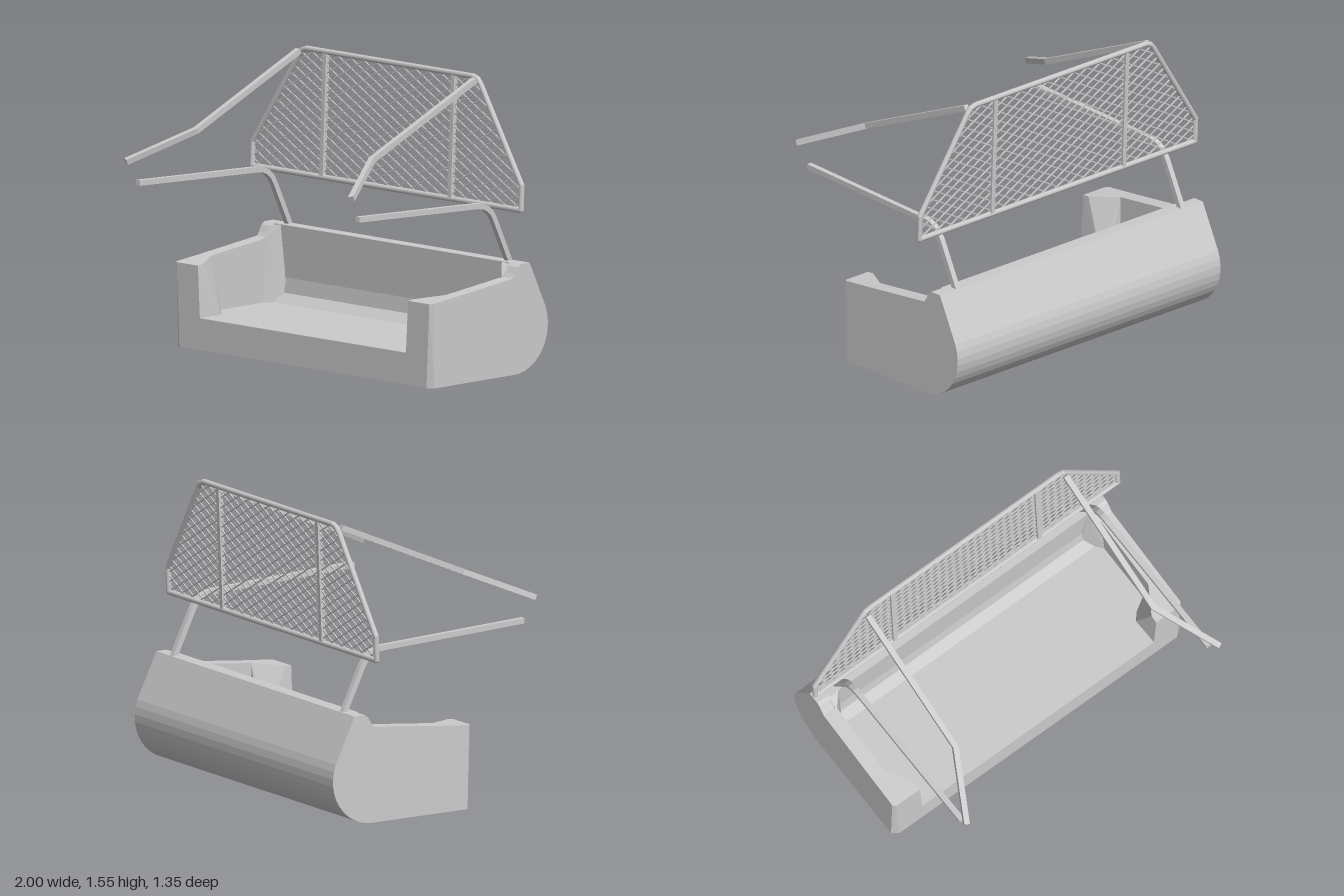
import * as THREE from 'three';
import { mergeGeometries } from 'three/addons/utils/BufferGeometryUtils.js';
import { ConvexGeometry } from 'three/addons/geometries/ConvexGeometry.js';

const V = (x, y, z) => new THREE.Vector3(x, y, z);

export function createModel() {
  const root = new THREE.Group();
  const flat = new THREE.MeshStandardMaterial({ color: 0xcccccc, flatShading: true });
  const smooth = new THREE.MeshStandardMaterial({ color: 0xcccccc });

  function add(name, geometry, parent = root, material = flat) {
    const mesh = new THREE.Mesh(geometry, material);
    mesh.name = name;
    parent.add(mesh);
    return mesh;
  }

  const extrude = (pts, depth) => new THREE.ExtrudeGeometry(
    new THREE.Shape(pts.map(p => new THREE.Vector2(p[0], p[1]))), { depth, bevelEnabled: false });

  // Extrude a [z, y] outline across x, from x0 to x1
  const across = (pts, x0, x1) =>
    extrude(pts.map(([z, y]) => [-z, y]), x1 - x0).rotateY(Math.PI / 2).translate(x0, 0, 0);

  // Outline of a strip of the given width along a 2D path, mitred at the bends
  function ribbon(path, width) {
    const left = [], right = [];
    path.forEach((p, i) => {
      const a = path[Math.max(i - 1, 0)], b = path[Math.min(i + 1, path.length - 1)];
      const d1 = new THREE.Vector2(p[0] - a[0], p[1] - a[1]).normalize();
      const d2 = new THREE.Vector2(b[0] - p[0], b[1] - p[1]).normalize();
      const d = d1.clone().add(d2).normalize();
      const ref = d1.lengthSq() ? d1 : d2;
      const k = width / 2 / d.dot(ref);
      left.push([p[0] - d.y * k, p[1] + d.x * k]);
      right.push([p[0] + d.y * k, p[1] - d.x * k]);
    });
    return left.concat(right.reverse());
  }

  // Rounded back of the bucket, from the rear rim down to the flat bottom
  const back = [[-0.54, 0.58]];
  for (let i = 0; i <= 12; i++) {
    const a = THREE.MathUtils.degToRad(158 + i * 112 / 12);
    back.push([-0.43 + 0.245 * Math.cos(a), 0.245 + 0.245 * Math.sin(a)]);
  }

  // Floor, front sill and rear wall
  const bucket = new THREE.Group();
  bucket.name = 'bucket';
  root.add(bucket);
  add('bucketShell', across([...back, [0.19, 0], [0.19, 0.17], [-0.42, 0.17],
    [-0.47, 0.22], [-0.48, 0.3], [-0.465, 0.58]], -0.86, 0.86), bucket);

  for (const s of [-1, 1]) {
    const side = s > 0 ? 'left' : 'right';

    // Side wall with its step up to the rear rim
    const x = [0.86 * s, 0.94 * s].sort((a, b) => a - b);
    add(side + 'SideWall', across([...back, [0, 0], [0, 0.465], [-0.42, 0.51],
      [-0.435, 0.53], [-0.455, 0.565], [-0.475, 0.58]], x[0], x[1]), bucket);

    // Chamfered front corner post with a gusset sloping down to the floor
    add(side + 'CornerPost', new ConvexGeometry([
      [0.94, 0, 0], [0.94, 0, 0.165], [0.905, 0, 0.19], [0.755, 0, 0.19], [0.86, 0, 0],
      [0.755, 0.17, 0.19], [0.75, 0.17, 0.04], [0.785, 0.17, 0], [0.86, 0.17, 0],
      [0.94, 0.465, 0], [0.94, 0.448, 0.175], [0.925, 0.446, 0.19], [0.77, 0.446, 0.19],
      [0.77, 0.45, 0.15], [0.83, 0.452, 0.125], [0.86, 0.465, 0],
    ].map(p => V(p[0] * s, p[1], p[2]))), bucket);

    // Fillet in the inner rear corner
    add(side + 'RearFillet', new ConvexGeometry([
      [0.86, 0.17, -0.38], [0.86, 0.17, -0.49], [0.78, 0.17, -0.48], [0.825, 0.17, -0.43],
      [0.87, 0.505, -0.4], [0.87, 0.58, -0.475], [0.81, 0.58, -0.475], [0.81, 0.58, -0.465],
    ].map(p => V(p[0] * s, p[1], p[2]))), bucket);

    // Bent lower arm rising from the rear rim
    add(side + 'LowerArm', across(ribbon([[0.6, 0.93], [-0.28, 0.894], [-0.32, 0.888],
      [-0.355, 0.872], [-0.385, 0.845], [-0.405, 0.813], [-0.53, 0.555]], 0.029),
      0.805 * s - 0.015, 0.805 * s + 0.015));

    // Upper strut, sloping forward and splayed outward at the end
    const strut = extrude(ribbon([[0.645 * s, 0], [0.645 * s, 0.828], [0.825 * s, 1.195]], 0.03), 0.03);
    strut.translate(0, 0, -0.015).rotateX(Math.atan2(1.1, -0.475)).translate(0, 1.522, -0.43);
    add(side + 'UpperStrut', strut);
  }

  // Guard screen, leaning slightly back
  const guard = new THREE.Group();
  guard.name = 'guardScreen';
  guard.position.set(0, 0.875, -0.431);
  guard.rotation.x = -0.04;
  root.add(guard);

  const half = [[0.985, 0], [0.985, 0.13], [0.665, 0.625], [0.643, 0.65], [0.61, 0.661]];
  const outline = [...half, ...half.map(([x, y]) => [-x, y]).reverse()];
  const frame = [];
  outline.forEach((p, i) => {
    const q = outline[(i + 1) % outline.length];
    const a = V(p[0], p[1], 0), d = V(q[0], q[1], 0).sub(a);
    const tube = new THREE.CylinderGeometry(0.015, 0.015, d.length(), 10);
    tube.rotateZ(Math.atan2(d.y, d.x) - Math.PI / 2);
    tube.translate(a.x + d.x / 2, a.y + d.y / 2, 0);
    frame.push(tube, new THREE.SphereGeometry(0.015, 10, 6).translate(a.x, a.y, 0));
  });
  add('guardFrame', mergeGeometries(frame), guard, smooth);

  for (const s of [-1, 1]) {
    add(s > 0 ? 'leftUpright' : 'rightUpright',
      new THREE.BoxGeometry(0.025, 0.66, 0.025).translate(0.47 * s, 0.33, 0), guard);
  }

  // Diamond wire mesh: two families of slanted wires clipped to the frame outline
  const wires = [], slope = 0.55;
  for (const s of [-1, 1]) {
    for (let c = -0.55; c < 1.25; c += 0.052) {
      let x0 = -2, x1 = 2;
      outline.forEach((p, i) => {
        const q = outline[(i + 1) % outline.length];
        const ex = q[0] - p[0], ey = q[1] - p[1];
        // Inside where k * x + m >= 0
        const k = ex * slope * s - ey, m = ex * (c - p[1]) + ey * p[0];
        if (Math.abs(k) < 1e-9) return;
        if (k > 0) x0 = Math.max(x0, -m / k);
        else x1 = Math.min(x1, -m / k);
      });
      if (x1 - x0 < 0.02) continue;
      const wire = new THREE.BoxGeometry((x1 - x0) * Math.hypot(1, slope), 0.006, 0.006);
      wire.rotateZ(Math.atan(slope * s));
      wires.push(wire.translate((x0 + x1) / 2, slope * s * (x0 + x1) / 2 + c, 0));
    }
  }
  add('wireMesh', mergeGeometries(wires), guard);

  return root;
}
